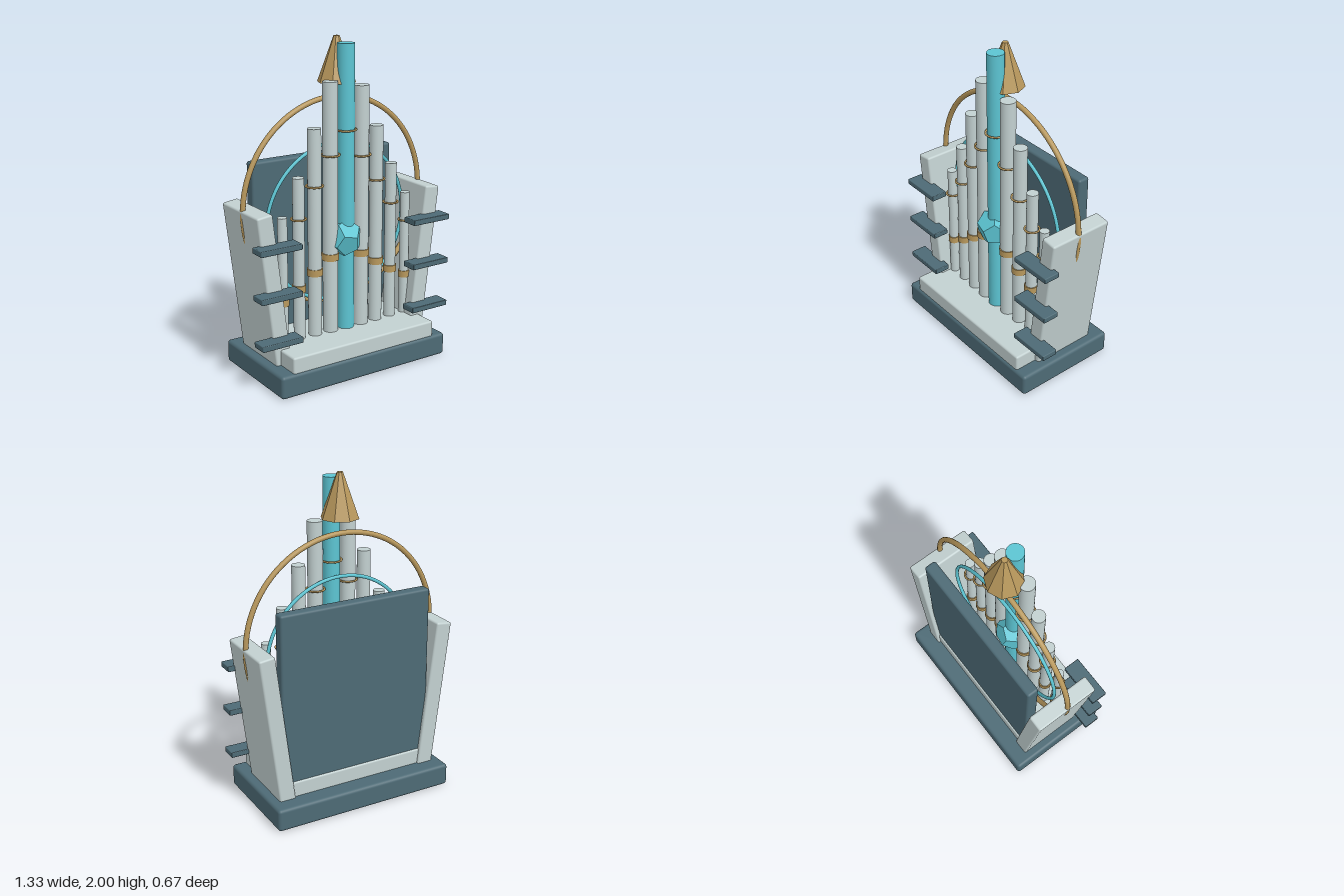
import * as THREE from 'three';
import { RoundedBoxGeometry } from 'three/addons/geometries/RoundedBoxGeometry.js';

const mat = (color, flatShading = false) => new THREE.MeshStandardMaterial({ color, flatShading });
const pale = mat(0xc2d0d0);
const slate = mat(0x4d6a75);
const gold = mat(0xb8985c);
const goldFlat = mat(0xb8985c, true);
const teal = mat(0x5cc4d2);
const tealFlat = mat(0x5cc4d2, true);

export function createModel() {
  const model = new THREE.Group();
  model.name = 'pipeOrgan';

  const add = (name, geometry, material, x, y, z) => {
    const mesh = new THREE.Mesh(geometry, material);
    mesh.name = name;
    mesh.position.set(x, y, z);
    model.add(mesh);
    return mesh;
  };
  const box = (w, h, d, r) => new RoundedBoxGeometry(w, h, d, 3, r);

  // Base, plinth and back panel
  add('base', box(1.18, 0.14, 0.665, 0.02), slate, 0, 0.07, 0);
  add('plinth', box(1.01, 0.12, 0.54, 0.012), pale, 0, 0.175, 0.05);
  add('backPanel', box(0.99, 1.1, 0.075, 0.015), slate, 0, 0.735, -0.173);

  // Leaning side towers with three slats each
  for (const side of [-1, 1]) {
    const name = side > 0 ? 'left' : 'right';
    const tower = add(name + 'Tower', box(0.102, 0.95, 0.412, 0.012), pale, side * 0.536, 0.585, -0.03);
    tower.rotation.z = -side * 0.122;
    for (const y of [0.302, 0.585, 0.868]) {
      add(name + 'Slat', box(0.27, 0.035, 0.102, 0.005), slate, side * 0.531, y, 0.203);
    }
  }

  // Row of pipes: [radius, top height], each with a collar and a thin ring
  const pipes = [
    [0.029, 1.0], [0.035, 1.22], [0.041, 1.495], [0.046, 1.755], [0.051, 1.965],
    [0.046, 1.715], [0.041, 1.465], [0.035, 1.22], [0.029, 1.02],
  ];
  const pipeZ = 0.079;
  pipes.forEach(([r, top], i) => {
    const x = 0.013 + (i - 4) * 0.11;
    const bottom = 0.2;
    const centre = i === 4;
    add(centre ? 'centrePipe' : 'pipe', new THREE.CylinderGeometry(r, r, top - bottom, 32),
      centre ? teal : pale, x, (top + bottom) / 2, pipeZ);
    add('pipeCollar', new THREE.CylinderGeometry(r + 0.006, r + 0.006, 0.042, 32),
      gold, x, 0.19 + 0.295 * top, pipeZ);
    const ring = add('pipeRing', new THREE.TorusGeometry(r + 0.009, 0.006, 8, 36),
      gold, x, 0.174 + 0.656 * top, pipeZ);
    ring.rotation.x = Math.PI / 2;
  });

  // Large hoops behind the pipes
  add('outerHoop', new THREE.TorusGeometry(0.627, 0.016, 12, 96), gold, 0, 1.02, -0.02);
  add('innerHoop', new THREE.TorusGeometry(0.487, 0.011, 10, 96), teal, 0, 0.893, 0);

  // Faceted crystal and pointed finial
  const crystal = add('crystal', new THREE.DodecahedronGeometry(0.117), tealFlat, 0, 0.807, 0.075);
  crystal.rotation.set(0.2, 0.3, 0.2);
  add('finial', new THREE.CylinderGeometry(0.018, 0.115, 0.267, 8), goldFlat, 0, 1.8665, 0);

  return model;
}
